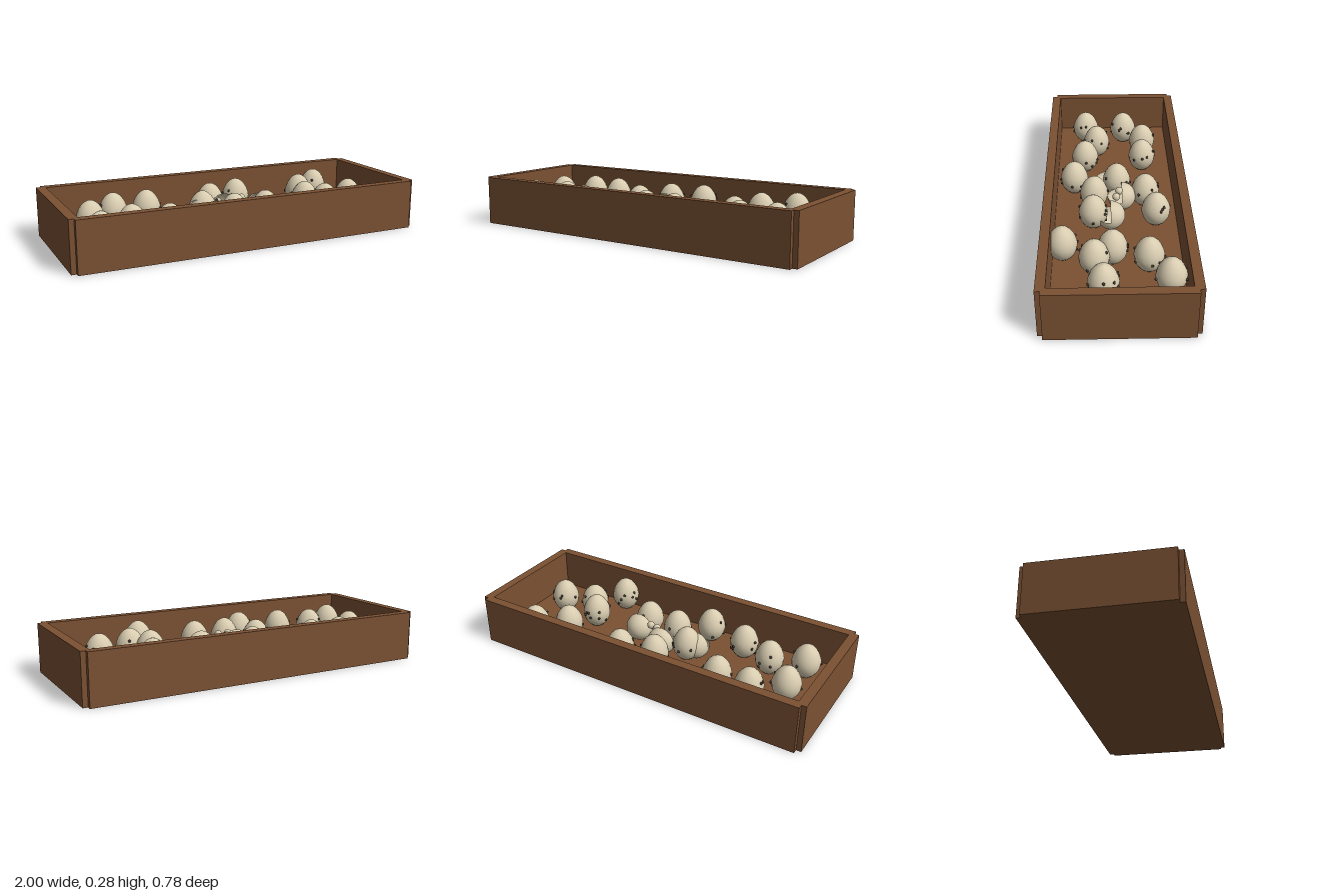
import * as THREE from 'three';

const wood = new THREE.MeshStandardMaterial({ color: 0x7b5133 });
wood.name = 'brown wood';
const shell = new THREE.MeshStandardMaterial({ color: 0xd8ccb0, side: THREE.DoubleSide });
shell.name = 'cream shell';
const speckle = new THREE.MeshStandardMaterial({ color: 0x40382c });
speckle.name = 'dark speckle';

const R = 0.08, FLOOR = 0.05, EGG_Y = 0.148;

function seeded(seed) {
  return () => (seed = (seed * 16807) % 2147483647) / 2147483647;
}

function add(parent, name, geometry, material, x = 0, y = 0, z = 0) {
  const mesh = new THREE.Mesh(geometry, material);
  mesh.name = name;
  mesh.position.set(x, y, z);
  parent.add(mesh);
  return mesh;
}

// Tall, slightly pointed egg: radius at a given height from -1 to 1
const taper = (h) => (h > 0 ? 1 - 0.14 * h : 1);

function eggGeometry(thetaStart = 0, thetaLength = Math.PI) {
  const g = new THREE.SphereGeometry(1, 16, 12, 0, Math.PI * 2, thetaStart, thetaLength);
  const p = g.attributes.position;
  for (let i = 0; i < p.count; i++) {
    const h = p.getY(i), t = taper(h);
    p.setXYZ(i, p.getX(i) * R * t, h * R * 1.25, p.getZ(i) * R * t);
  }
  g.computeVertexNormals();
  // Keep the normals continuous across the sphere seam
  const n = g.attributes.normal;
  for (let i = 0; i < n.count; i += 17) {
    if (i + 16 >= n.count) break;
    const v = new THREE.Vector3().fromBufferAttribute(n, i)
      .add(new THREE.Vector3().fromBufferAttribute(n, i + 16)).normalize();
    n.setXYZ(i, v.x, v.y, v.z);
    n.setXYZ(i + 16, v.x, v.y, v.z);
  }
  return g;
}

export function createModel() {
  const model = new THREE.Group();
  model.name = 'eggTray';

  // Open box with notched corners
  const tray = new THREE.Group();
  tray.name = 'tray';
  model.add(tray);
  add(tray, 'trayFloor', new THREE.BoxGeometry(1.946, FLOOR, 0.728), wood, 0, FLOOR / 2, 0);
  for (const s of [-1, 1]) {
    add(tray, 'longWall', new THREE.BoxGeometry(1.946, 0.275, 0.05), wood, 0, 0.1375, s * 0.365);
    add(tray, 'endWall', new THREE.BoxGeometry(0.05, 0.275, 0.728), wood, s * 0.975, 0.1375, 0);
  }

  // Whole eggs with raised speckles around the sides
  const wholeGeo = eggGeometry();
  const dotGeo = new THREE.SphereGeometry(0.008, 6, 5);
  const rand = seeded(4271);
  const spots = [
    [-0.78, -0.065], [-0.62, -0.18], [-0.43, -0.17], [-0.04, -0.17], [0.15, -0.22],
    [0.55, -0.16], [0.715, -0.26], [0.485, 0.025], [0.565, 0.12], [0.755, 0.075],
    [0.45, 0.285], [0.17, 0.125], [-0.02, 0.12], [-0.155, -0.01], [-0.18, 0.235],
    [-0.42, 0.175], [-0.605, 0.105], [-0.79, 0.175],
  ];
  for (const [x, z] of spots) {
    const egg = new THREE.Group();
    egg.name = 'egg';
    egg.position.set(x, EGG_Y, z);
    model.add(egg);
    add(egg, 'eggShell', wholeGeo, shell);
    for (let i = 0; i < 8; i++) {
      const a = rand() * Math.PI * 2, h = rand() * 0.9 - 0.45;
      const r = R * taper(h) * Math.sqrt(1 - h * h);
      add(egg, 'speckle', dotGeo, speckle, Math.cos(a) * r, h * R * 1.25, Math.sin(a) * r);
    }
  }

  // Cracked eggs: an open lower bowl with the upper half tipped back
  const bowlGeo = new THREE.SphereGeometry(R, 16, 6, 0, Math.PI * 2, Math.PI / 2, Math.PI / 2);
  const lidGeo = new THREE.SphereGeometry(R, 16, 6, 0, Math.PI * 2, 0, Math.PI / 2);
  for (const [x, z] of [[-0.19, 0.03], [-0.005, -0.035], [0.18, 0.03]]) {
    const cracked = new THREE.Group();
    cracked.name = 'crackedEgg';
    cracked.position.set(x, 0.13, z);
    model.add(cracked);
    add(cracked, 'lowerShell', bowlGeo, shell);
    add(cracked, 'upperShell', lidGeo, shell).rotation.x = -Math.PI / 2;
  }

  // Small pale beads by the middle cracked egg
  const beadGeo = new THREE.SphereGeometry(0.022, 12, 8);
  add(model, 'bead', beadGeo, shell, 0.035, 0.19, -0.02);
  add(model, 'bead', beadGeo, shell, 0.085, 0.185, -0.003);

  return model;
}
